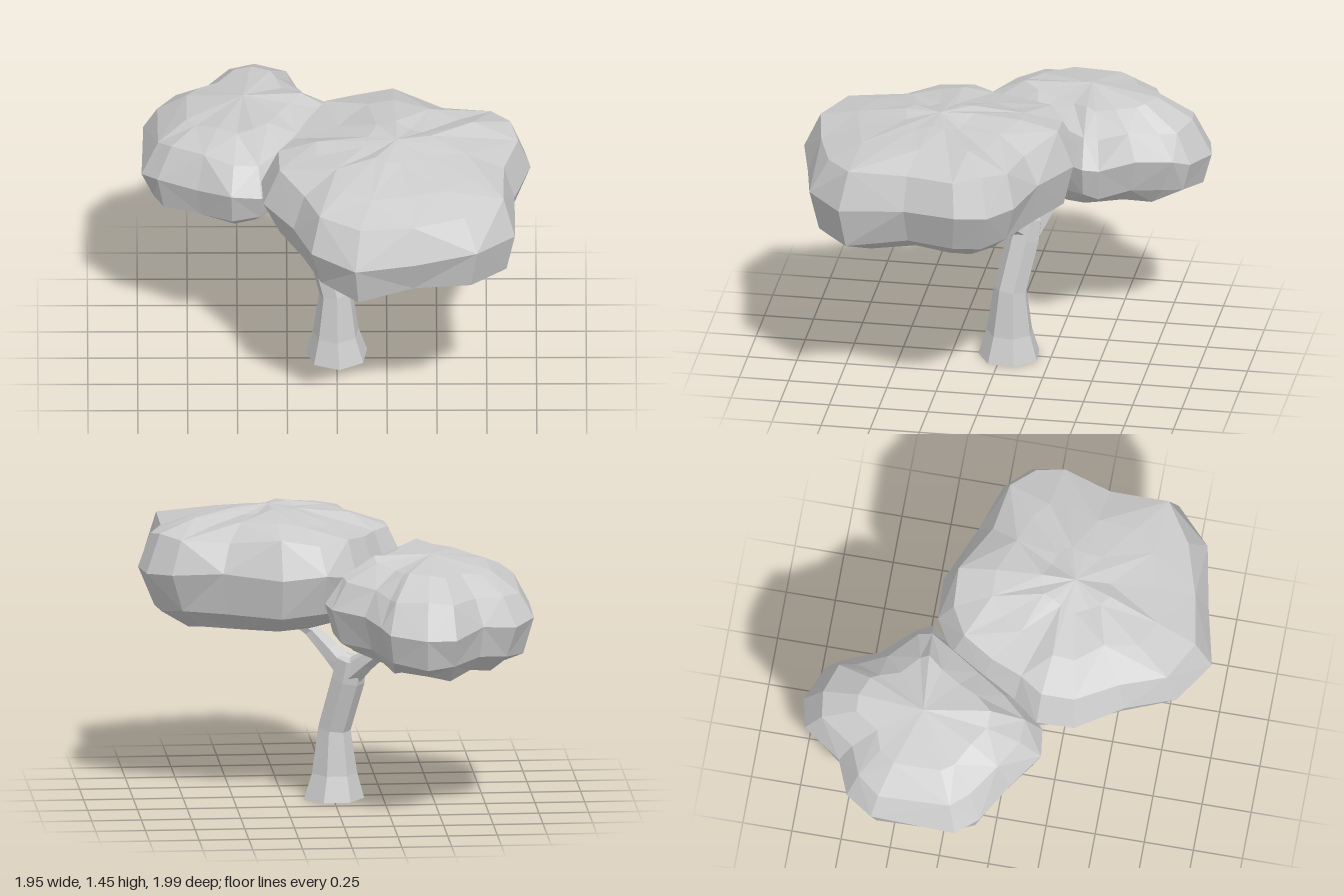
import * as THREE from 'three';

const grey = new THREE.MeshStandardMaterial({ color: 0xcccccc, flatShading: true });

function seeded(seed) {
  return () => {
    seed = (seed * 16807) % 2147483647;
    return seed / 2147483647 - 0.5;
  };
}

// Skin between equal rings (anticlockwise seen from their upper end), closed by a fan at both ends
function loft(name, rings, start, end) {
  const n = rings[0].length;
  const pos = [...rings.flat(), start, end].flatMap((p) => [p.x, p.y, p.z]);
  const s = rings.length * n, e = s + 1, last = s - n, index = [];
  for (let j = 0; j < n; j++) {
    const k = (j + 1) % n;
    for (let i = 0; i < rings.length - 1; i++) {
      const a = i * n + j, b = i * n + k, c = b + n, d = a + n;
      if ((i + j) % 2) index.push(a, b, c, a, c, d);
      else index.push(a, b, d, b, c, d);
    }
    index.push(s, k, j, e, last + j, last + k);
  }
  const geo = new THREE.BufferGeometry();
  geo.setAttribute('position', new THREE.Float32BufferAttribute(pos, 3));
  geo.setIndex(index);
  const flat = geo.toNonIndexed();
  flat.computeVertexNormals();
  const mesh = new THREE.Mesh(flat, grey);
  mesh.name = name;
  return mesh;
}

// Tapering limb through points [x, y, z, radius]
function limb(name, points, sides, flatBase = false) {
  const c = points.map((p) => new THREE.Vector3(p[0], p[1], p[2]));
  const up = new THREE.Vector3(0, 1, 0);
  const rings = c.map((centre, i) => {
    const dir = c[Math.min(i + 1, c.length - 1)].clone().sub(c[Math.max(i - 1, 0)]).normalize();
    if (flatBase && i === 0) dir.copy(up);
    const q = new THREE.Quaternion().setFromUnitVectors(up, dir);
    return Array.from({ length: sides }, (_, j) => {
      const a = (j / sides) * Math.PI * 2 + 0.3;
      return new THREE.Vector3(Math.cos(a), 0, -Math.sin(a))
        .multiplyScalar(points[i][3]).applyQuaternion(q).add(centre);
    });
  });
  return loft(name, rings, c[0], c[c.length - 1]);
}

// Leaf mass: a plan outline repeated at levels [scale, height], gently tilted and roughened
function canopy(name, { outline, centre, levels, bottom, top, tilt, seed }) {
  const rand = seeded(seed);
  const [cx, cz] = centre;
  const rings = levels.map(([s, y]) => outline.map(([x, z]) => {
    const k = s === 1 ? 1 : s * (1 + rand() * 0.07);
    const dx = (x - cx) * k, dz = (z - cz) * k;
    return new THREE.Vector3(cx + dx, y + tilt[0] * dx + tilt[1] * dz + rand() * 0.04, cz + dz);
  }));
  return loft(name, rings, new THREE.Vector3(cx, bottom, cz), new THREE.Vector3(cx, top, cz));
}

export function createModel() {
  const tree = new THREE.Group();
  tree.name = 'tree';

  // Leaning trunk with a flared foot
  tree.add(limb('trunk', [
    [0, 0, -0.04, 0.158], [-0.005, 0.13, -0.04, 0.118], [-0.005, 0.36, -0.045, 0.085],
    [-0.07, 0.62, -0.1, 0.087], [-0.085, 0.73, -0.12, 0.075],
  ], 7, true));

  // Forked branches and their twigs
  const branches = new THREE.Group();
  branches.name = 'branches';
  branches.add(
    limb('frontBranch', [[-0.08, 0.66, -0.11, 0.07], [0.0, 0.74, -0.03, 0.055],
      [0.1, 0.83, 0.12, 0.04], [0.2, 0.91, 0.28, 0.03]], 6),
    limb('backBranch', [[-0.09, 0.66, -0.12, 0.07], [-0.16, 0.73, -0.18, 0.052],
      [-0.25, 0.81, -0.25, 0.036], [-0.33, 0.9, -0.31, 0.03]], 6),
    limb('frontTwig', [[0.08, 0.82, 0.09, 0.035], [0.17, 0.87, 0.12, 0.026], [0.27, 0.95, 0.14, 0.02]], 5),
    limb('backTwig', [[-0.2, 0.77, -0.21, 0.035], [-0.2, 0.83, -0.27, 0.026], [-0.19, 0.9, -0.32, 0.02]], 5),
  );
  tree.add(branches);

  // Large leaf mass at the front
  tree.add(canopy('largeCanopy', {
    outline: [
      [0.06, -0.4], [-0.1, -0.3], [-0.2, -0.12], [-0.28, 0.05], [-0.38, 0.18], [-0.37, 0.37],
      [-0.22, 0.6], [-0.13, 0.85], [0.09, 0.99], [0.39, 0.92], [0.7, 0.86], [0.89, 0.68],
      [0.89, 0.35], [0.97, 0.08], [0.94, -0.08], [0.82, -0.2], [0.57, -0.28], [0.28, -0.41],
    ],
    centre: [0.3, 0.26],
    levels: [[0.4, 0.91], [0.68, 0.875], [0.9, 0.96], [1, 1.16], [0.88, 1.34], [0.6, 1.395], [0.25, 1.43]],
    bottom: 0.92, top: 1.45, tilt: [0.01, -0.05], seed: 71,
  }));

  // Smaller, lower leaf mass at the back
  tree.add(canopy('smallCanopy', {
    outline: [
      [-0.4, -1], [-0.55, -0.97], [-0.7, -0.77], [-0.87, -0.7], [-0.97, -0.56], [-0.98, -0.13],
      [-0.9, -0.02], [-0.7, 0.1], [-0.53, 0.23], [-0.38, 0.21], [-0.25, 0.07], [-0.15, -0.1],
      [-0.03, -0.28], [0.07, -0.42], [0.04, -0.5], [-0.11, -0.66], [-0.18, -0.84], [-0.22, -0.92],
    ],
    centre: [-0.47, -0.38],
    levels: [[0.4, 0.83], [0.72, 0.8], [0.9, 0.88], [1, 1.04], [0.84, 1.19], [0.55, 1.28]],
    bottom: 0.84, top: 1.315, tilt: [0.06, 0.06], seed: 137,
  }));

  return tree;
}
